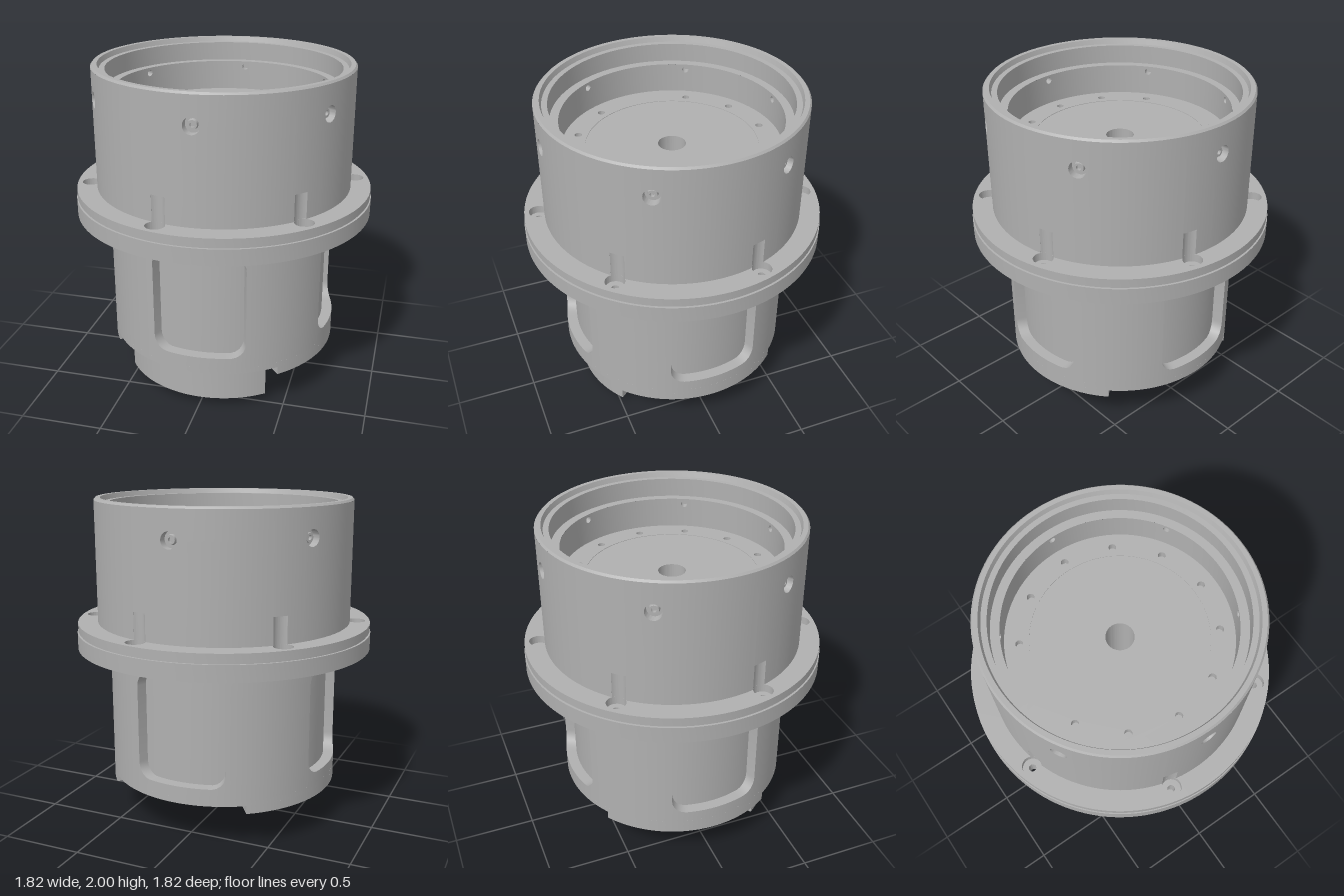
import * as THREE from 'three';
import { toCreasedNormals } from 'three/addons/utils/BufferGeometryUtils.js';

const rad = THREE.MathUtils.degToRad;
const TURN = rad(1.5);            // pockets and side screws
const BOLT = rad(-13.3);          // flange bolts and clearance slots
const ring = (n, start) => Array.from({ length: n }, (_, i) => start + (i * 2 * Math.PI) / n);

// Cylindrical wall with recesses. Each recess: centre a, half angle h, and
// lo(t), hi(t), floor(t) for t from -1 to 1 across its width.
function wallGeometry(R, y0, y1, recesses, inward = false) {
  const cols = [];
  recesses.forEach((c, i) => {
    const n = 20;
    const edge = (t) => ({ a: c.a + t * c.h, lo: c.lo(t), hi: c.hi(t), f: R });
    cols.push(edge(-1));
    for (let k = 0; k <= n; k++) {
      const t = -Math.cos((Math.PI * k) / n);
      cols.push({ ...edge(t), f: c.floor(t) });
    }
    const end = edge(1);
    const next = recesses[(i + 1) % recesses.length];
    const stop = next.a - next.h + (i === recesses.length - 1 ? 2 * Math.PI : 0);
    const steps = Math.max(1, Math.ceil((stop - end.a) / rad(3)));
    cols.push(end);
    for (let k = 1; k <= steps; k++) cols.push({ ...end, a: end.a + ((stop - end.a) * k) / steps });
  });
  const path = (c) => [[R, y0], [R, c.lo], [c.f, c.lo], [c.f, c.hi], [R, c.hi], [R, y1]]
    .map(([r, y]) => new THREE.Vector3(r * Math.sin(c.a), y, r * Math.cos(c.a)));
  const pos = [];
  const tri = (...p) => {
    const area = new THREE.Triangle(...p).getArea();
    if (area < 1e-9) return;
    if (inward) p.reverse();
    p.forEach((v) => pos.push(v.x, v.y, v.z));
  };
  for (let i = 0; i + 1 < cols.length; i++) {
    const p = path(cols[i]), q = path(cols[i + 1]);
    for (let j = 0; j < 5; j++) {
      tri(p[j], q[j], q[j + 1]);
      tri(p[j], q[j + 1], p[j + 1]);
    }
  }
  const g = new THREE.BufferGeometry();
  g.setAttribute('position', new THREE.Float32BufferAttribute(pos, 3));
  return toCreasedNormals(g, 0.5);
}

// Round recess in a wall of radius R
const roundRecess = (R, a, y, r, floor) => ({
  a, h: r / R,
  lo: (t) => y - r * Math.sqrt(Math.max(0, 1 - t * t)),
  hi: (t) => y + r * Math.sqrt(Math.max(0, 1 - t * t)),
  floor: () => floor,
});

// Disc outline with round holes given as [distance, angle, radius]
function discShape(R, holes) {
  const s = new THREE.Shape().absarc(0, 0, R, 0, Math.PI * 2);
  for (const [d, a, r] of holes) {
    s.holes.push(new THREE.Path().absarc(d * Math.sin(a), -d * Math.cos(a), r, 0, Math.PI * 2, true));
  }
  return s;
}

// Ring sector between two angles, measured from the front towards +x
function sectorShape(r0, r1, from, to) {
  const a = rad(from - 90), b = rad(to - 90);
  return new THREE.Shape().absarc(0, 0, r1, a, b, false).absarc(0, 0, r0, b, a, true);
}

function plateGeometry(shape, y0, y1, segments = 96) {
  const g = new THREE.ExtrudeGeometry(shape, { depth: y1 - y0, bevelEnabled: false, curveSegments: segments });
  g.rotateX(-Math.PI / 2).translate(0, y0, 0);
  return toCreasedNormals(g, 0.5);
}

export function createModel() {
  const group = new THREE.Group();
  const metal = new THREE.MeshStandardMaterial({ color: 0xb0b0b0 });
  metal.name = 'grey metal';
  const add = (name, geometry) => {
    const m = new THREE.Mesh(geometry, metal);
    m.name = name;
    group.add(m);
    return m;
  };
  const bore = [0, 0, 0.082];

  // Lower housing with four rounded pockets
  const half = rad(23), corner = 0.09;
  const round = (t) => {
    const d = Math.max(0, corner - (1 - Math.abs(t)) * half * 0.71);
    return corner - Math.sqrt(Math.max(0, corner * corner - d * d));
  };
  add('lowerHousing', wallGeometry(0.71, 0.32, 1.1, ring(4, TURN).map((a) => ({
    a, h: half,
    lo: (t) => 0.39 + round(t),
    hi: (t) => 1.04 - round(t),
    floor: () => 0.645,
  }))));
  add('bottomPlate', plateGeometry(discShape(0.71, [bore]), 0.285, 0.32));
  add('core', plateGeometry(discShape(0.6, [bore]), 0.3, 1.62));

  // Raised arcs under the housing
  add('rightSkirt', plateGeometry(sectorShape(0.58, 0.71, 41, 132), 0.235, 0.286, 40));
  add('leftSkirt', plateGeometry(sectorShape(0.58, 0.71, 214, 303), 0.235, 0.286, 40));

  // Offset block with locating pin
  add('footBlock', plateGeometry(sectorShape(0.245, 0.625, -54.8, 38), 0.055, 0.286, 40));
  const pin = add('locatingPin', new THREE.CylinderGeometry(0.052, 0.052, 0.07, 32));
  pin.position.set(-0.172, 0.035, 0.4);

  // Flange in three layers: drilled base, groove, counterbored top
  const bolts = ring(6, BOLT);
  const through = bolts.map((a) => [0.82, a, 0.022]);
  const blind = ring(12, BOLT + rad(15)).map((a) => [0.82, a, 0.03]);
  const inner = [0, 0, 0.62];
  add('flangeBase', plateGeometry(discShape(0.91, [inner, ...through, ...blind]), 1.09, 1.19, 64));
  add('flangeGroove', plateGeometry(discShape(0.897, [inner, ...through]), 1.188, 1.202, 64));
  // The top ring starts outside the slot bottoms so the counterbores stay inside its outline
  add('flangeTop', plateGeometry(discShape(0.905, [[0, 0, 0.7], ...bolts.map((a) => [0.82, a, 0.057])]), 1.2, 1.25, 64));
  bolts.forEach((a) => {
    const seat = new THREE.RingGeometry(0.022, 0.034, 24).rotateX(-Math.PI / 2);
    add('boltSeat', seat).position.set(0.82 * Math.sin(a), 1.208, 0.82 * Math.cos(a));
  });

  // Upper housing with side screw holes and bolt clearance slots
  const R = 0.783, sw = 0.043;
  const upper = [];
  for (let i = 0; i < 6; i++) {
    const turn = (i * Math.PI) / 3;
    upper.push({
      a: BOLT + turn, h: Math.asin(sw / R),
      lo: () => 1.2,
      hi: () => 1.41,
      floor: (t) => 0.82 - Math.sqrt(0.0572 ** 2 - (t * sw) ** 2),
    });
    upper.push(roundRecess(R, TURN + turn, 1.82, 0.048, 0.735));
  }
  add('upperHousing', wallGeometry(R, 1.2, 1.988, upper));

  // Set screws with a hollow socket
  ring(6, TURN).forEach((a) => {
    const profile = [[0.03, 0], [0.026, 0.022], [0.014, 0.022], [0.014, 0.002], [0, 0.002]];
    const g = new THREE.LatheGeometry(profile.map((p) => new THREE.Vector2(...p)), 24);
    g.rotateX(Math.PI / 2);
    const m = add('setScrew', toCreasedNormals(g, 0.5));
    m.position.set(0.735 * Math.sin(a), 1.82, 0.735 * Math.cos(a));
    m.rotation.y = a;
  });

  // Stepped rim and inner wall of the cup
  const rim = [[0.783, 1.988], [0.773, 2], [0.745, 2], [0.735, 1.97], [0.702, 1.97], [0.702, 1.855], [0.65, 1.855]];
  add('rim', toCreasedNormals(new THREE.LatheGeometry(rim.map((p) => new THREE.Vector2(...p)), 128), 0.3));
  add('cupWall', wallGeometry(0.65, 1.66, 1.855,
    ring(6, TURN).map((a) => roundRecess(0.65, a, 1.82, 0.02, 0.7)), true));

  // Cup floor: drilled outer ring, with no hole on the -x side, and centre disc
  const drilled = ring(12, 0).filter((_, i) => i !== 9).map((a) => [0.565, a, 0.022]);
  add('floorRing', plateGeometry(discShape(0.66, [[0, 0, 0.51], ...drilled]), 1.62, 1.67, 64));
  add('floorDisc', plateGeometry(discShape(0.51, [bore]), 1.61, 1.667));

  return group;
}
